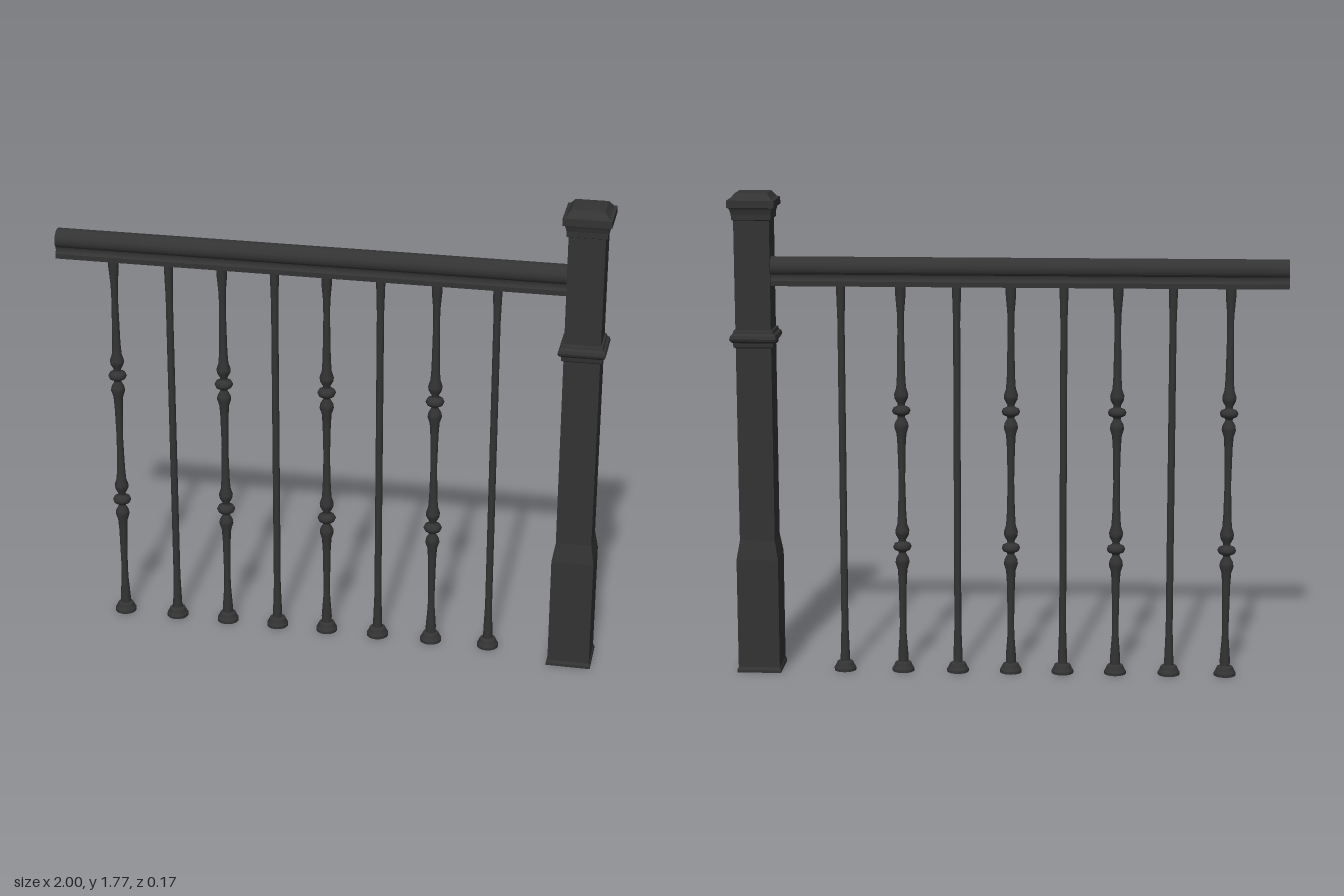
import * as THREE from 'three';

const metal = new THREE.MeshStandardMaterial({ color: 0x333333 });
const metalFlat = new THREE.MeshStandardMaterial({ color: 0x333333, flatShading: true });
const BAR_Z = -0.02;

// Turned solid from [radius, height] pairs, listed bottom to top
function turned(name, profile, sides, material, scale = 1, phi = 0) {
  const points = profile.map(([r, y]) => new THREE.Vector2(r * scale, y));
  const mesh = new THREE.Mesh(new THREE.LatheGeometry(points, sides, phi), material);
  mesh.name = name;
  return mesh;
}

// Square section from [halfWidth, height] pairs
const square = (name, profile) => turned(name, profile, 4, metalFlat, Math.SQRT2, Math.PI / 4);

function createPost() {
  const post = new THREE.Group();
  post.name = 'newelPost';
  post.add(
    square('postBase', [[0, 0], [0.081, 0], [0.081, 0.01], [0.076, 0.02], [0.076, 0.425], [0.064, 0.495]]),
    square('postShaft', [[0.064, 0.49], [0.064, 1.68]]),
    square('postCollar', [[0.064, 1.205], [0.071, 1.21], [0.073, 1.225], [0.081, 1.232],
      [0.084, 1.24], [0.081, 1.252], [0.073, 1.258], [0.071, 1.268], [0.064, 1.27]]),
    square('postCap', [[0.064, 1.665], [0.07, 1.668], [0.071, 1.688], [0.075, 1.703], [0.078, 1.71],
      [0.085, 1.712], [0.085, 1.738], [0.075, 1.741], [0.069, 1.748], [0.058, 1.762], [0, 1.767]]),
  );
  post.position.x = 0.914;
  return post;
}

// Handrail with a rounded crown, a waist and a flat foot
function createRail() {
  const s = new THREE.Shape();
  s.moveTo(-0.036, 1.43);
  s.lineTo(0.036, 1.43);
  s.lineTo(0.036, 1.448);
  s.quadraticCurveTo(0.026, 1.458, 0.03, 1.472);
  s.bezierCurveTo(0.042, 1.48, 0.043, 1.5, 0.036, 1.512);
  s.bezierCurveTo(0.024, 1.54, -0.024, 1.54, -0.036, 1.512);
  s.bezierCurveTo(-0.043, 1.5, -0.042, 1.48, -0.03, 1.472);
  s.quadraticCurveTo(-0.026, 1.458, -0.036, 1.448);
  s.closePath();
  const geometry = new THREE.ExtrudeGeometry(s, { depth: 1.86, bevelEnabled: false, curveSegments: 8 });
  geometry.rotateY(Math.PI / 2);
  const rail = new THREE.Mesh(geometry, metal);
  rail.name = 'handrail';
  rail.position.set(-1, 0, BAR_Z);
  return rail;
}

// Bead between two swellings, centred on height y
const knuckle = (y) => [[0.015, -0.13], [0.018, -0.085], [0.026, -0.06], [0.024, -0.045], [0.013, -0.025],
  [0.015, -0.017], [0.029, -0.011], [0.034, 0], [0.029, 0.011], [0.015, 0.017], [0.013, 0.025],
  [0.024, 0.045], [0.026, 0.06], [0.018, 0.085], [0.015, 0.13]].map(([r, h]) => [r, y + h]);

const plainProfile = [[0.018, 0.02], [0.017, 0.06], [0.013, 0.17], [0.013, 1.3], [0.016, 1.4], [0.016, 1.44]];
const ornateProfile = [[0.018, 0.02], [0.019, 0.06], [0.013, 0.14], [0.012, 0.19], ...knuckle(0.47),
  [0.012, 0.72], ...knuckle(0.975), [0.012, 1.27], [0.013, 1.33], [0.019, 1.4], [0.019, 1.44]];
const shoeProfile = [[0, 0], [0.04, 0], [0.04, 0.01], [0.034, 0.02], [0.029, 0.032], [0.018, 0.037]];

function createBaluster(x, ornate) {
  const baluster = new THREE.Group();
  baluster.name = ornate ? 'ornateBaluster' : 'plainBaluster';
  baluster.add(
    turned('balusterBar', ornate ? ornateProfile : plainProfile, 14, metal),
    turned('balusterShoe', shoeProfile, 16, metalFlat),
  );
  baluster.position.set(x, 0, BAR_Z);
  return baluster;
}

export function createModel() {
  const model = new THREE.Group();
  model.name = 'stairRailing';
  model.add(createPost(), createRail());
  // Ornate and plain balusters alternate along the rail
  [-0.795, -0.59, -0.393, -0.2, -0.01, 0.185, 0.387, 0.602]
    .forEach((x, i) => model.add(createBaluster(x, i % 2 === 0)));
  return model;
}
